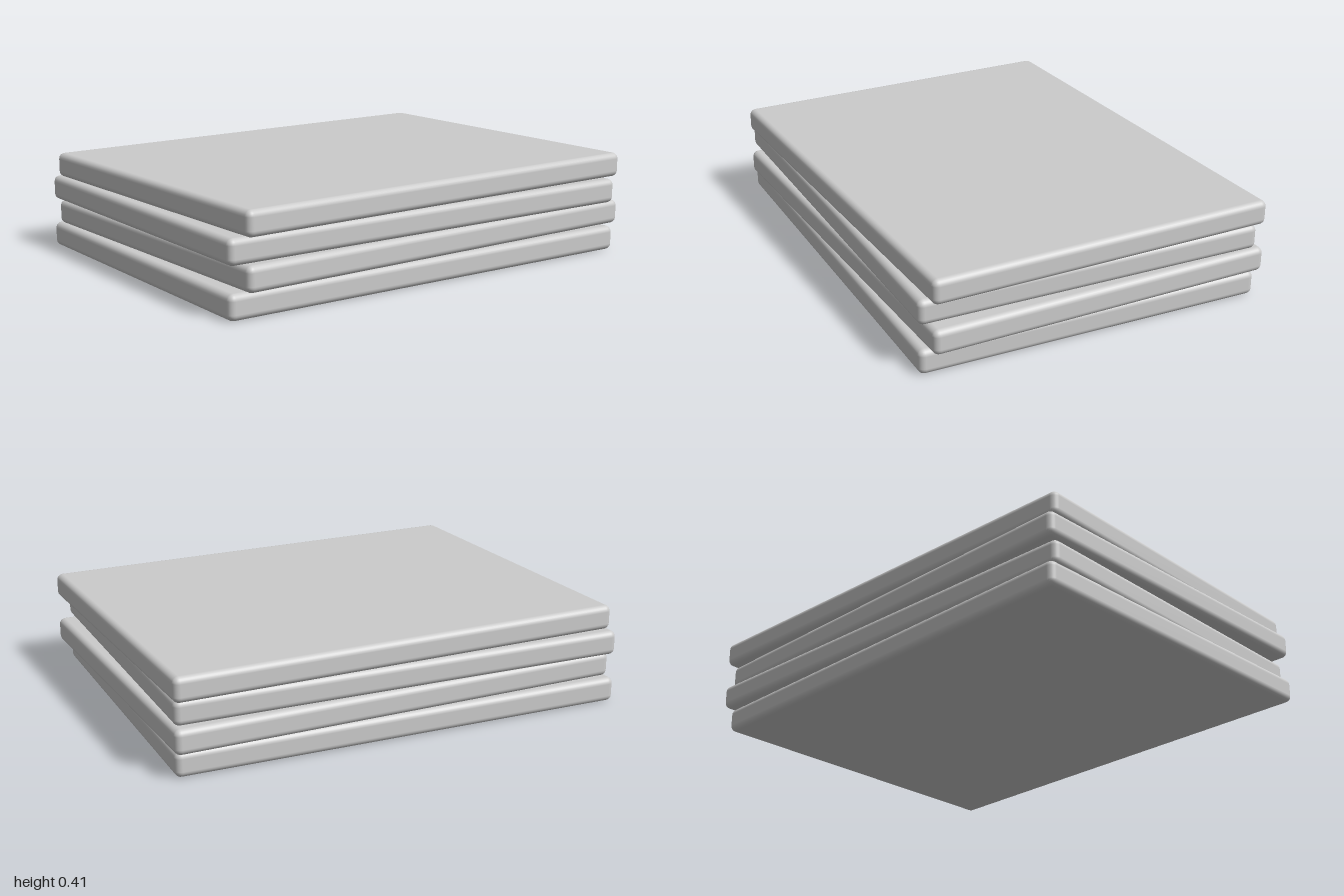
import * as THREE from 'three';
import { RoundedBoxGeometry } from 'three/addons/geometries/RoundedBoxGeometry.js';

const WIDTH = 1.94, DEPTH = 1.48, THICKNESS = 0.1035, COUNT = 4;

export function createModel() {
  const stack = new THREE.Group();
  stack.name = 'slabStack';
  const material = new THREE.MeshStandardMaterial({ color: 0xcccccc });
  const geometry = new RoundedBoxGeometry(WIDTH, THICKNESS, DEPTH, 3, 0.026);

  // Identical rounded slabs, each twisted and shifted opposite to the one below
  for (let i = 0; i < COUNT; i++) {
    const side = i % 2 ? 1 : -1;
    const slab = new THREE.Mesh(geometry, material);
    slab.name = `slab${i + 1}`;
    slab.position.set(side * 0.0175, (i + 0.5) * THICKNESS, 0);
    slab.rotation.y = side * THREE.MathUtils.degToRad(1);
    stack.add(slab);
  }
  return stack;
}
